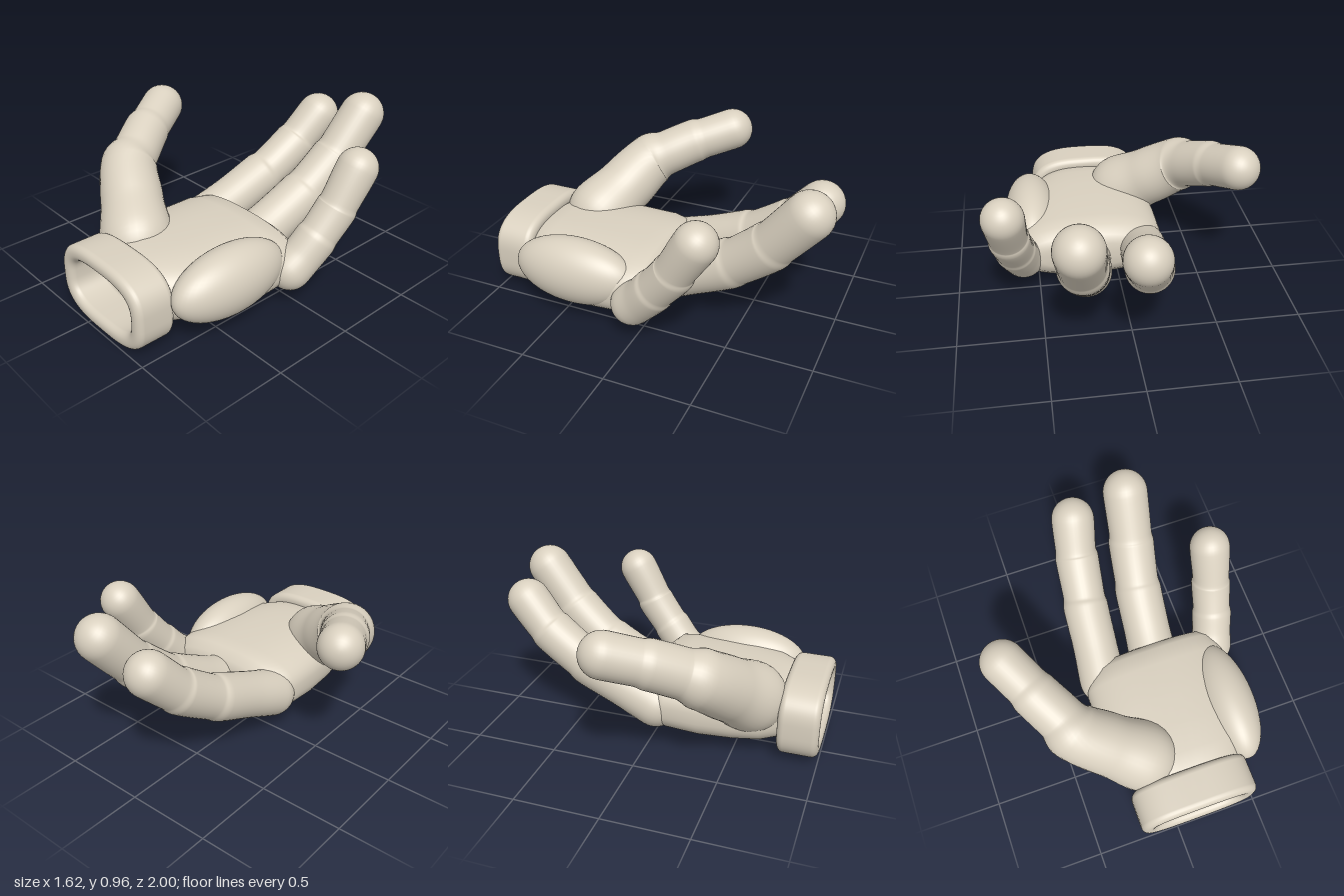
import * as THREE from 'three';
import { mergeVertices } from 'three/addons/utils/BufferGeometryUtils.js';

const clay = new THREE.MeshStandardMaterial({ color: 0xd9d0bf });
clay.name = 'warm clay';

// Skin a list of rings (equal-length arrays of Vector3) into a smooth surface
function loft(rings) {
  const n = rings[0].length, pos = [], idx = [];
  rings.forEach((ring) => ring.forEach((p) => pos.push(p.x, p.y, p.z)));
  for (let i = 0; i < rings.length - 1; i++) {
    for (let j = 0; j < n; j++) {
      const a = i * n + j, b = i * n + (j + 1) % n;
      idx.push(a, b, b + n, a, b + n, a + n);
    }
  }
  let geo = new THREE.BufferGeometry();
  geo.setAttribute('position', new THREE.Float32BufferAttribute(pos, 3));
  geo.setIndex(idx);
  geo = mergeVertices(geo, 1e-5);
  geo.computeVertexNormals();
  return geo;
}

// Rounded-rectangle-like ring facing z
function superRing(cx, cy, z, hw, hh, power, n = 64) {
  const bend = (v) => Math.sign(v) * Math.pow(Math.abs(v), 2 / power);
  return Array.from({ length: n }, (_, j) => {
    const a = (j / n) * Math.PI * 2;
    return new THREE.Vector3(cx + hw * bend(Math.cos(a)), cy + hh * bend(Math.sin(a)), z);
  });
}

// Round-ended limb through keys [x, y, z, radius]
function limb(keys, n = 36) {
  const curve = new THREE.CatmullRomCurve3(keys.map((k) => new THREE.Vector3(k[0], k[1], k[2])));
  const ref = new THREE.Vector3(1, 0, 0), rings = [];
  const addRing = (t, r, shift) => {
    const T = curve.getTangent(t);
    const U = ref.clone().cross(T).normalize(), V = T.clone().cross(U);
    const c = curve.getPoint(t).addScaledVector(T, shift);
    rings.push(Array.from({ length: n }, (_, j) => {
      const a = (j / n) * Math.PI * 2;
      return c.clone().addScaledVector(U, r * Math.cos(a)).addScaledVector(V, r * Math.sin(a));
    }));
  };
  const last = keys.length - 1, capSteps = 10, steps = last * 8;
  const r0 = keys[0][3], r1 = keys[last][3];
  for (let i = 0; i < capSteps; i++) {
    const a = (i / capSteps) * Math.PI / 2;
    addRing(0, r0 * Math.sin(a), -r0 * Math.cos(a));
  }
  for (let i = 0; i <= steps; i++) {
    const f = (i / steps) * last, k = Math.min(Math.floor(f), last - 1);
    const s = THREE.MathUtils.smoothstep(f - k, 0, 1);
    addRing(i / steps, THREE.MathUtils.lerp(keys[k][3], keys[k + 1][3], s), 0);
  }
  for (let i = 1; i <= capSteps; i++) {
    const a = (i / capSteps) * Math.PI / 2;
    addRing(1, r1 * Math.cos(a), r1 * Math.sin(a));
  }
  return loft(rings);
}

export function createModel() {
  const group = new THREE.Group();
  const add = (name, geo) => {
    const mesh = new THREE.Mesh(geo, clay);
    mesh.name = name;
    group.add(mesh);
    return mesh;
  };

  // Palm: sections [z, centre x, centre y, half width, half height]
  const sections = [
    [-0.075, 0.2, 0.25, 0, 0], [-0.07, 0.2, 0.25, 0.28, 0.08], [-0.05, 0.2, 0.25, 0.36, 0.13],
    [0, 0.19, 0.25, 0.42, 0.175], [0.1, 0.18, 0.24, 0.45, 0.195], [0.3, 0.18, 0.235, 0.45, 0.207],
    [0.5, 0.17, 0.24, 0.43, 0.2], [0.66, 0.15, 0.245, 0.38, 0.19], [0.75, 0.15, 0.245, 0.32, 0.175],
    [0.785, 0.16, 0.245, 0.27, 0.16], [0.79, 0.16, 0.245, 0.25, 0.15], [0.791, 0.16, 0.245, 0, 0],
  ];
  add('palm', loft(sections.map(([z, cx, cy, hw, hh]) => superRing(cx, cy, z, hw, hh, 2.6))));

  // Fleshy pad on the little finger side
  const pad = add('heelPad', new THREE.SphereGeometry(1, 48, 32));
  pad.scale.set(0.165, 0.2, 0.38);
  pad.position.set(0.52, 0.29, 0.42);

  // Hollow cuff: rounded wall profile carried round the wrist
  const wall = 0.045, bevel = 0.04, profile = [];
  [[0.96, 1, 0], [0.96, -1, 1], [0.8, -1, 2], [0.8, 1, 3]].forEach(([z, side, q]) => {
    for (let i = 0; i <= 6; i++) {
      const a = Math.PI / 2 * (1 - q - i / 6);
      profile.push([side * (wall - bevel) + bevel * Math.sin(a), z + bevel * Math.cos(a)]);
    }
  });
  profile.push(profile[0]);
  add('cuff', loft(profile.map(([d, z]) => superRing(0.13, 0.235, z, 0.315 + d, 0.19 + d, 3, 80))));

  // Thumb and fingers, with a slight step after each joint
  const digits = {
    thumb: [
      [-0.09, 0.345, 0.58, 0.21], [-0.26, 0.47, 0.48, 0.185], [-0.43, 0.6, 0.37, 0.17],
      [-0.48, 0.645, 0.28, 0.143], [-0.57, 0.715, 0.13, 0.14], [-0.6, 0.735, 0.07, 0.129],
      [-0.683, 0.79, -0.085, 0.13],
    ],
    indexFinger: [
      [-0.145, 0.225, 0.02, 0.143], [-0.12, 0.31, -0.2, 0.138], [-0.1, 0.4, -0.42, 0.14],
      [-0.09, 0.43, -0.48, 0.13], [-0.062, 0.56, -0.68, 0.134], [-0.055, 0.595, -0.72, 0.125],
      [-0.022, 0.728, -0.85, 0.13],
    ],
    middleFinger: [
      [0.21, 0.19, 0, 0.152], [0.23, 0.285, -0.21, 0.145], [0.25, 0.39, -0.42, 0.146],
      [0.258, 0.43, -0.48, 0.137], [0.287, 0.58, -0.66, 0.141], [0.295, 0.625, -0.7, 0.132],
      [0.32, 0.825, -0.865, 0.135],
    ],
    littleFinger: [
      [0.59, 0.215, 0.02, 0.125], [0.613, 0.285, -0.055, 0.12], [0.635, 0.37, -0.13, 0.122],
      [0.642, 0.405, -0.16, 0.115], [0.663, 0.53, -0.26, 0.119], [0.668, 0.565, -0.28, 0.112],
      [0.685, 0.745, -0.39, 0.12],
    ],
  };
  for (const [name, keys] of Object.entries(digits)) add(name, limb(keys));

  // Three slim seams on the back of the hand
  for (const x of [-0.04, 0.14, 0.32]) {
    const seam = add('backSeam', new THREE.CapsuleGeometry(0.008, 0.22, 4, 10));
    seam.rotation.x = Math.PI / 2;
    seam.position.set(x, x > 0.3 ? 0.034 : 0.032, 0.33);
  }
  return group;
}
